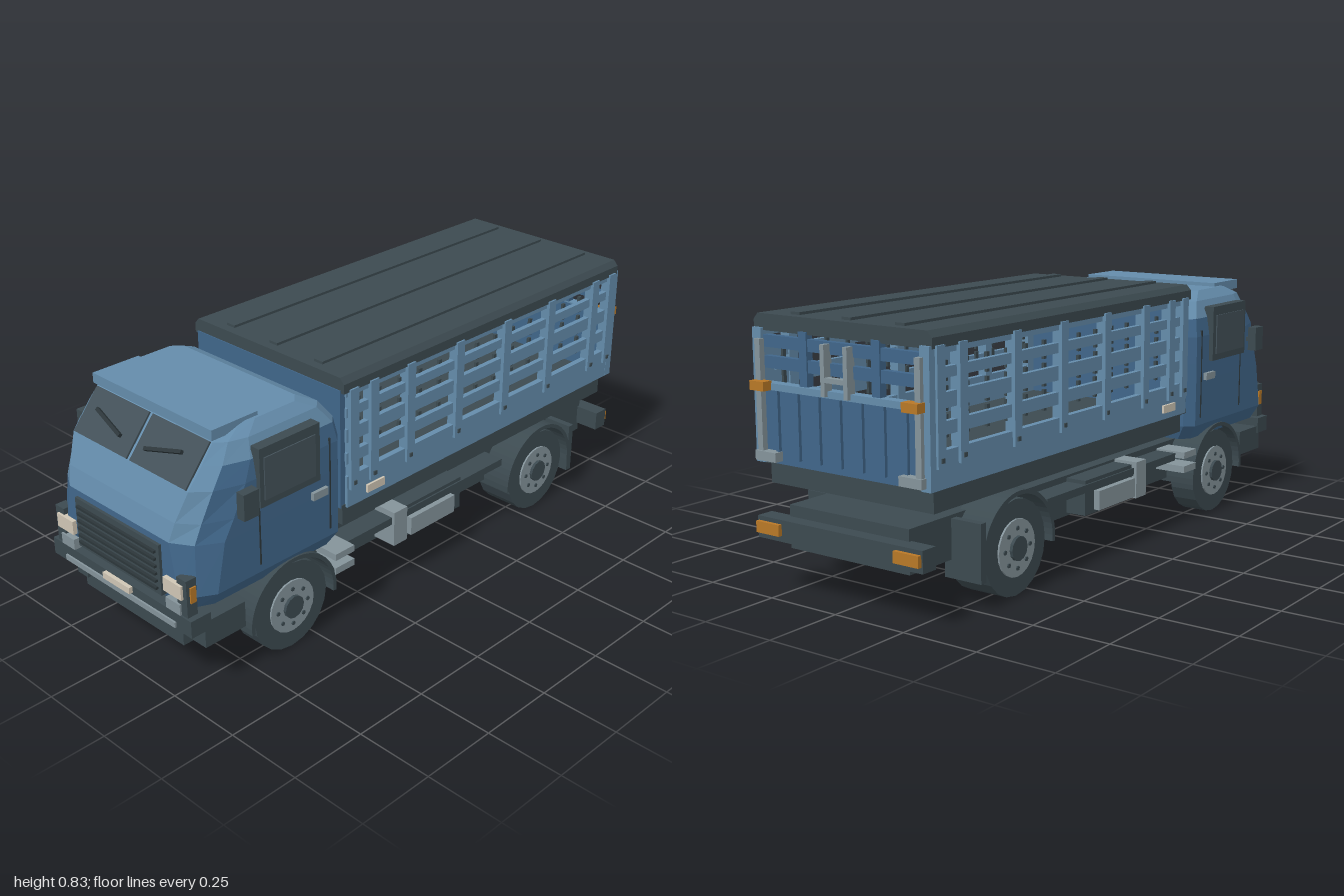
import * as THREE from 'three';

const mat = (name, color) => {
  const m = new THREE.MeshStandardMaterial({ color, flatShading: true });
  m.name = name;
  return m;
};

export function createModel() {
  const truck = new THREE.Group();
  truck.name = 'stakeTruck';
  const M = {
    light: mat('lightBlue', 0x648cab),
    blue: mat('darkBlue', 0x40668a),
    coal: mat('charcoal', 0x3c4a50),
    glass: mat('glass', 0x435159),
    black: mat('rubberBlack', 0x2c363a),
    grey: mat('metalGrey', 0x84939a),
    beige: mat('lampBeige', 0xcfc6b5),
    orange: mat('orange', 0xb87827),
  };
  const add = (name, geo, m, parent = truck) => {
    const mesh = new THREE.Mesh(geo, m);
    mesh.name = name;
    parent.add(mesh);
    return mesh;
  };
  // box from its limits
  const box = (name, m, x0, x1, y0, y1, z0, z1) => {
    const mesh = add(name, new THREE.BoxGeometry(x1 - x0, y1 - y0, z1 - z0), m);
    mesh.position.set((x0 + x1) / 2, (y0 + y1) / 2, (z0 + z1) / 2);
    return mesh;
  };
  // the same box on both sides of the truck
  const pair = (name, m, x0, x1, ...r) => {
    box(name + 'Left', m, x0, x1, ...r);
    box(name + 'Right', m, -x1, -x0, ...r);
  };

  // ---- cab: horizontal cross-sections stacked upwards
  // [y, half width, front z, back z, flat front half width, corner depth]
  const levels = [
    [0.285, 0.305, 0.95, 0.41, 0.25, 0.07],
    [0.335, 0.335, 0.97, 0.39, 0.26, 0.08],
    [0.49, 0.336, 0.968, 0.39, 0.228, 0.11],
    [0.55, 0.336, 0.952, 0.39, 0.24, 0.13],
    [0.64, 0.335, 0.915, 0.39, 0.26, 0.14],
    [0.70, 0.325, 0.865, 0.40, 0.26, 0.12],
    [0.755, 0.303, 0.82, 0.44, 0.258, 0.09],
    [0.785, 0.275, 0.74, 0.50, 0.24, 0.06],
  ];
  const rings = levels.map(([y, w, zf, zb, f, d]) => {
    const half = [[f, zf], [f + (w - f) * 0.6, zf - d * 0.35], [w, zf - d], [w, zb + 0.03], [w - 0.03, zb]];
    const other = half.map(([x, z]) => [-x, z]).reverse();
    return [...half, ...other].map(([x, z]) => [x, y, z]);
  });
  const shell = { light: [], blue: [] };
  for (let i = 0; i < rings.length - 1; i++) {
    for (let j = 0; j < 10; j++) {
      const k = (j + 1) % 10;
      const front = j === 0 || j === 8 || j === 9;
      const key = (front && i >= 2) || i >= 5 ? 'light' : 'blue';
      const [a, b, c, d] = [rings[i][j], rings[i][k], rings[i + 1][k], rings[i + 1][j]];
      shell[key].push(...a, ...b, ...c, ...a, ...c, ...d);
    }
  }
  const top = rings.at(-1), bottom = rings[0];
  for (let j = 1; j < 9; j++) {
    shell.light.push(...top[0], ...top[j], ...top[j + 1]);
    shell.blue.push(...bottom[0], ...bottom[j + 1], ...bottom[j]);
  }
  for (const key of ['light', 'blue']) {
    const g = new THREE.BufferGeometry();
    g.setAttribute('position', new THREE.Float32BufferAttribute(shell[key], 3));
    g.computeVertexNormals();
    add(key === 'light' ? 'cabUpperShell' : 'cabLowerShell', g, M[key]);
  }
  box('roofVisor', M.light, -0.265, 0.265, 0.765, 0.797, 0.66, 0.828);

  // windscreen and wipers lie on the sloping front
  const screen = new THREE.Group();
  screen.name = 'windscreen';
  screen.position.set(0, 0.699, 0.8685);
  screen.rotation.x = -0.69;
  truck.add(screen);
  for (const s of [-1, 1]) {
    add('windscreenPane', new THREE.BoxGeometry(0.245, 0.148, 0.009), M.glass, screen).position.x = s * 0.13;
    const wiper = add('wiper', new THREE.BoxGeometry(0.14, 0.011, 0.012), M.black, screen);
    wiper.position.set(s * 0.123, -0.005, 0.018);
    wiper.rotation.z = s * 0.28;
  }

  // doors, windows, mirrors
  pair('windowFrame', M.coal, 0.315, 0.35, 0.55, 0.735, 0.505, 0.735);
  pair('windowGlass', M.glass, 0.345, 0.354, 0.572, 0.705, 0.525, 0.72);
  pair('doorHandle', M.grey, 0.33, 0.348, 0.488, 0.512, 0.47, 0.53);
  pair('doorFrontGap', M.black, 0.33, 0.3375, 0.36, 0.55, 0.727, 0.732);
  pair('doorRearGap', M.black, 0.33, 0.3375, 0.36, 0.66, 0.45, 0.455);
  pair('mirror', M.coal, 0.348, 0.378, 0.555, 0.637, 0.765, 0.82);
  pair('mirrorArm', M.coal, 0.32, 0.36, 0.585, 0.6, 0.775, 0.79);

  // grille, lamps and bumper
  box('grille', M.coal, -0.193, 0.193, 0.305, 0.47, 0.95, 0.978);
  for (let i = 0; i < 6; i++) {
    const y = 0.322 + i * 0.024;
    box('grilleSlat', M.black, -0.18, 0.18, y, y + 0.008, 0.97, 0.987);
  }
  pair('headlightHousing', M.coal, 0.262, 0.303, 0.22, 0.4, 0.94, 0.976);
  pair('headlight', M.beige, 0.21, 0.288, 0.335, 0.38, 0.94, 0.984);
  pair('foglight', M.grey, 0.215, 0.277, 0.278, 0.315, 0.94, 0.982);
  pair('sideIndicator', M.orange, 0.3, 0.308, 0.325, 0.375, 0.945, 0.965);
  box('bumper', M.coal, -0.323, 0.323, 0.225, 0.28, 0.91, 0.982);
  box('bumperStrip', M.grey, -0.257, 0.257, 0.232, 0.25, 0.975, 0.988);
  box('frontPlate', M.beige, -0.062, 0.062, 0.257, 0.278, 0.978, 0.995);
  box('lowerApron', M.coal, -0.318, 0.318, 0.165, 0.25, 0.78, 0.93);
  box('frontValance', M.coal, -0.23, 0.23, 0.135, 0.23, 0.85, 0.94);
  pair('towBracket', M.coal, 0.2, 0.25, 0.177, 0.227, 0.92, 0.955);

  // ---- chassis
  box('chassis', M.coal, -0.225, 0.225, 0.14, 0.27, -0.94, 0.9);
  box('rearBedMount', M.coal, -0.2, 0.2, 0.26, 0.33, -0.64, -0.51);
  pair('frontBedMount', M.coal, 0.12, 0.18, 0.26, 0.4, 0.36, 0.4);
  pair('upperStep', M.grey, 0.21, 0.335, 0.234, 0.256, 0.35, 0.43);
  pair('lowerStep', M.grey, 0.21, 0.335, 0.185, 0.208, 0.35, 0.43);
  pair('airTank', M.grey, 0.22, 0.31, 0.15, 0.27, 0.085, 0.145);
  pair('toolBox', M.coal, 0.22, 0.295, 0.15, 0.262, -0.19, 0.08);
  pair('tankFace', M.grey, 0.22, 0.315, 0.16, 0.222, -0.14, 0.07);
  pair('sideRail', M.coal, 0.22, 0.3, 0.225, 0.25, -0.4, 0.35);
  pair('rearMudflap', M.coal, 0.2, 0.33, 0.085, 0.26, -0.76, -0.737);
  box('rearBumper', M.coal, -0.31, 0.31, 0.17, 0.235, -0.985, -0.93);
  pair('rearLamp', M.orange, 0.215, 0.305, 0.188, 0.222, -0.998, -0.98);

  // ---- wheels and fenders
  const disc = (name, m, r, x0, x1, parent, sides = 20) => {
    const mesh = add(name, new THREE.CylinderGeometry(r, r, x1 - x0, sides).rotateZ(Math.PI / 2), m, parent);
    mesh.position.x = (x0 + x1) / 2;
    return mesh;
  };
  const arch = new THREE.Shape();
  arch.absarc(0, 0, 0.173, -0.1, Math.PI + 0.1, false);
  arch.absarc(0, 0, 0.16, Math.PI + 0.1, -0.1, true);
  const archGeo = new THREE.ExtrudeGeometry(arch, { depth: 0.125, bevelEnabled: false, curveSegments: 14 })
    .rotateY(-Math.PI / 2).translate(0.33, 0, 0);
  for (const [end, z, inner] of [['front', 0.595, 0.225], ['rear', -0.575, 0.18]]) {
    for (const s of [1, -1]) {
      const wheel = new THREE.Group();
      wheel.name = end + 'Wheel';
      wheel.position.set(0, 0.145, z);
      wheel.rotation.y = s > 0 ? 0 : Math.PI;
      truck.add(wheel);
      disc('tyre', M.coal, 0.145, inner, 0.312, wheel);
      disc('rim', M.grey, 0.087, 0.3, 0.318, wheel);
      disc('hub', M.coal, 0.037, 0.31, 0.328, wheel, 12);
      for (let i = 0; i < 8; i++) {
        const a = (i / 8) * Math.PI * 2;
        const bolt = disc('wheelBolt', M.coal, 0.007, 0.316, 0.322, wheel, 6);
        bolt.position.y = Math.sin(a) * 0.06;
        bolt.position.z = Math.cos(a) * 0.06;
      }
      add('fender', archGeo, M.coal, wheel);
    }
    const axle = disc(end + 'Axle', M.black, 0.03, -0.25, 0.25, truck, 10);
    axle.position.set(0, 0.145, z);
  }

  // ---- cargo bed
  box('bedSkirt', M.coal, -0.305, 0.305, 0.322, 0.388, -0.93, 0.37);
  box('bedFloor', M.coal, -0.318, 0.318, 0.385, 0.4, -0.95, 0.385);
  box('headboard', M.blue, -0.315, 0.315, 0.39, 0.78, 0.368, 0.388);
  pair('sideBoard', M.light, 0.305, 0.325, 0.39, 0.495, -0.945, 0.37);
  for (const [y0, y1] of [[0.535, 0.572], [0.607, 0.65], [0.688, 0.718], [0.755, 0.785]]) {
    pair('sideSlat', M.light, 0.305, 0.322, y0, y1, -0.945, 0.37);
    if (y0 < 0.75) for (let z = 0.3; z > -0.9; z -= 0.09)
      pair('slatClip', M.coal, 0.297, 0.306, y0 - 0.013, y1 + 0.013, z - 0.006, z + 0.006);
  }
  for (const z of [0.345, 0.26, 0.1, -0.125, -0.357, -0.587, -0.83, -0.925]) {
    pair('stakePost', M.light, 0.3, 0.334, 0.45, 0.78, z - 0.017, z + 0.017);
    pair('postBolt', M.coal, 0.33, 0.338, 0.465, 0.478, z - 0.006, z + 0.006);
  }
  pair('sideMarker', M.beige, 0.32, 0.333, 0.412, 0.438, 0.215, 0.29);

  // roof with chamfered edges and three ribs
  const roof = new THREE.Shape();
  [[-0.328, 0.772], [0.328, 0.772], [0.328, 0.802], [0.312, 0.82], [-0.312, 0.82], [-0.328, 0.802]]
    .forEach(([x, y], i) => (i ? roof.lineTo(x, y) : roof.moveTo(x, y)));
  add('cargoRoof', new THREE.ExtrudeGeometry(roof, { depth: 1.34, bevelEnabled: false }).translate(0, 0, -0.955), M.coal);
  for (const x of [-0.193, 0, 0.193])
    box('roofRib', M.coal, x - 0.017, x + 0.017, 0.815, 0.828, -0.925, 0.355);

  // ---- tailgate
  box('tailPanel', M.blue, -0.3, 0.3, 0.39, 0.62, -0.955, -0.935);
  for (let i = -3; i <= 3; i++)
    box('tailRib', M.blue, i * 0.08 - 0.006, i * 0.08 + 0.006, 0.41, 0.61, -0.965, -0.95);
  box('tailTopRail', M.light, -0.3, 0.3, 0.605, 0.625, -0.968, -0.935);
  for (const y of [0.665, 0.725]) box('tailSlat', M.blue, -0.3, 0.3, y, y + 0.035, -0.955, -0.935);
  pair('tailUpright', M.blue, 0.12, 0.15, 0.61, 0.78, -0.96, -0.935);
  pair('tailCornerPost', M.light, 0.292, 0.326, 0.39, 0.78, -0.965, -0.935);
  pair('tailHingeBar', M.grey, 0.285, 0.305, 0.42, 0.75, -0.978, -0.96);
  pair('tailLatchBar', M.grey, 0.035, 0.05, 0.61, 0.755, -0.98, -0.95);
  box('tailLatchCross', M.grey, -0.05, 0.05, 0.65, 0.664, -0.98, -0.96);
  pair('tailMarker', M.orange, 0.255, 0.31, 0.605, 0.632, -0.998, -0.965);
  pair('tailBuffer', M.grey, 0.23, 0.31, 0.4, 0.428, -0.985, -0.95);
  return truck;
}
